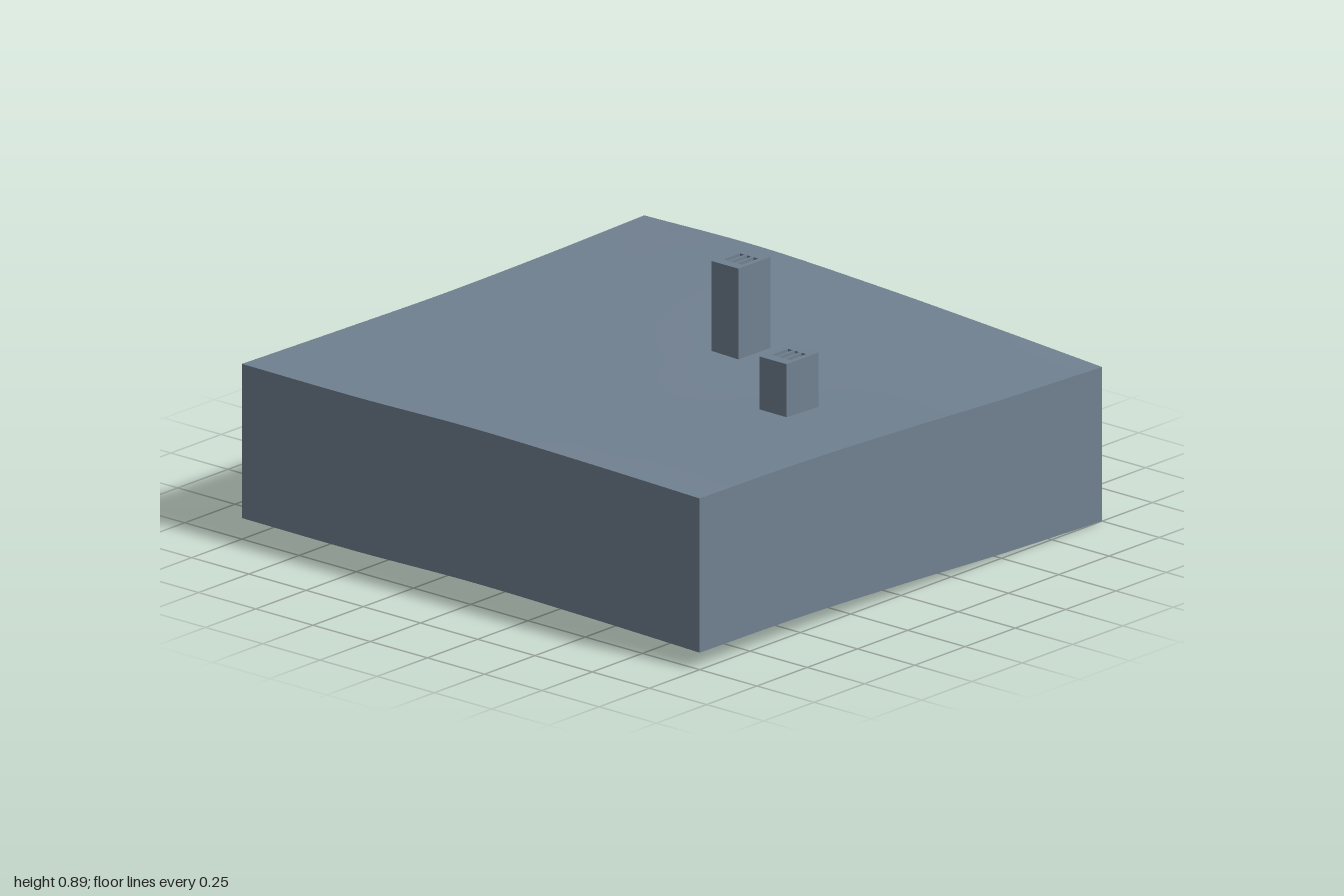
import * as THREE from 'three';

const slate = new THREE.MeshStandardMaterial({ color: 0x708090, side: THREE.DoubleSide });
slate.name = 'slateGrey';

// Ground heights: rows run from back (z = -1) to front, columns from x = -1 to 1
const HEIGHTS = [
  [0.608, 0.614, 0.595, 0.567, 0.535],
  [0.598, 0.598, 0.585, 0.566, 0.550],
  [0.594, 0.592, 0.585, 0.574, 0.572],
  [0.600, 0.596, 0.595, 0.591, 0.589],
  [0.608, 0.606, 0.613, 0.606, 0.594],
];
const DEPTH = 0.535;
const SEGMENTS = 32;

// Smooth curve through evenly spaced values, t from 0 to 1
function spline(values, t) {
  const last = values.length - 1;
  const i = Math.min(Math.floor(t * last), last - 1);
  const f = t * last - i;
  const b = values[i], c = values[i + 1];
  const a = i > 0 ? values[i - 1] : 2 * b - c;
  const d = i + 2 <= last ? values[i + 2] : 2 * c - b;
  return b + 0.5 * f * (c - a + f * (2 * a - 5 * b + 4 * c - d + f * (3 * (b - c) + d - a)));
}

function groundHeight(x, z) {
  const u = (x + 1) / 2, v = (z + 1) / 2;
  return spline(HEIGHTS.map((row) => spline(row, u)), v);
}

function addMesh(parent, name, geometry) {
  const mesh = new THREE.Mesh(geometry, slate);
  mesh.name = name;
  parent.add(mesh);
  return mesh;
}

// Gently rolling top sheet
function topSheet() {
  const geometry = new THREE.PlaneGeometry(2, 2, SEGMENTS, SEGMENTS).rotateX(-Math.PI / 2);
  const p = geometry.attributes.position;
  for (let i = 0; i < p.count; i++) p.setY(i, groundHeight(p.getX(i), p.getZ(i)));
  geometry.computeVertexNormals();
  return geometry;
}

// Upright skirt wall that follows the sheet's edge; angle 0 is the front
function skirtWall(angle) {
  const geometry = new THREE.PlaneGeometry(2, 1, SEGMENTS, 1).translate(0, 0, 1).rotateY(angle);
  const p = geometry.attributes.position;
  for (let i = 0; i < p.count; i++) {
    const top = groundHeight(p.getX(i), p.getZ(i));
    p.setY(i, p.getY(i) > 0 ? top : top - DEPTH);
  }
  return geometry;
}

function rectangle(target, cx, w, h) {
  target.moveTo(cx - w / 2, -h / 2);
  target.lineTo(cx + w / 2, -h / 2);
  target.lineTo(cx + w / 2, h / 2);
  target.lineTo(cx - w / 2, h / 2);
  target.closePath();
  return target;
}

// Chimney block with three long slots sunk into its top
function chimney(name, x, z, base, top) {
  const group = new THREE.Group();
  group.name = name;
  const width = 0.118, length = 0.16, slotDepth = 0.03;
  const shaft = new THREE.BoxGeometry(width, top - slotDepth - base, length);
  addMesh(group, 'shaft', shaft).position.y = (base + top - slotDepth) / 2;

  const cap = rectangle(new THREE.Shape(), 0, width, length);
  for (const cx of [-0.03, 0, 0.03]) cap.holes.push(rectangle(new THREE.Path(), cx, 0.02, 0.08));
  const capGeometry = new THREE.ExtrudeGeometry(cap, { depth: slotDepth, bevelEnabled: false });
  addMesh(group, 'slottedCap', capGeometry.rotateX(-Math.PI / 2)).position.y = top - slotDepth;

  group.position.set(x, 0, z);
  return group;
}

export function createModel() {
  const model = new THREE.Group();
  model.name = 'slabWithChimneys';
  addMesh(model, 'topSheet', topSheet());
  ['frontWall', 'leftWall', 'backWall', 'rightWall'].forEach((name, i) =>
    addMesh(model, name, skirtWall((i * Math.PI) / 2)));
  model.add(chimney('tallChimney', 0.082, -0.25, 0.575, 0.895));
  model.add(chimney('shortChimney', 0.582, 0.08, 0.572, 0.762));
  return model;
}
